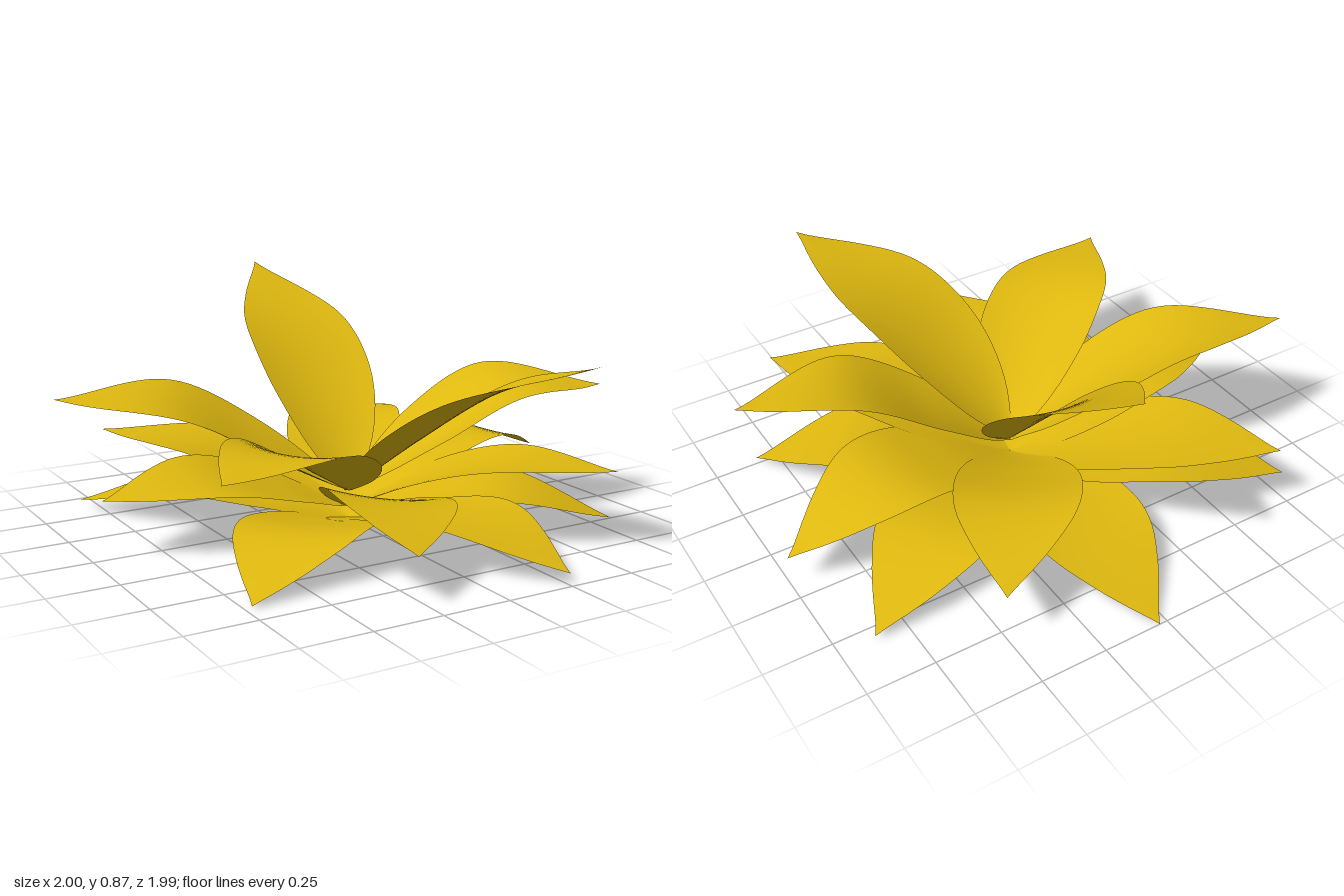
import * as THREE from 'three';

const material = new THREE.MeshStandardMaterial({ color: 0xdeb80f, side: THREE.DoubleSide });

// Smooth curve through values given at increasing stations
const curve = (stations, values) => {
  const spline = new THREE.CubicInterpolant(stations, values, 1);
  return (t) => spline.evaluate(t)[0];
};

// Half width of a petal from base to drawn-out tip
const halfWidth = curve(
  [0, 0.12, 0.3, 0.5, 0.65, 0.8, 0.9, 0.96, 1],
  [0.015, 0.125, 0.205, 0.225, 0.202, 0.13, 0.066, 0.024, 0]);

// Each petal: tip x, tip z, height at 30%, 60% and 100% of its length, sideways bow, roll
const layers = [
  { name: 'lowerPetal', base: 0.005, cup: 0.025, petals: [
    [0.03, -1.0, 0.075, 0.1, 0.0, 0, 0],
    [0.87, -0.56, 0.1, 0.14, 0.02, 0, 0],
    [0.83, 0.52, 0.09, 0.13, 0.01, 0, -0.01],
    [0.25, 0.99, 0.09, 0.14, 0.04, 0, 0],
    [-0.73, 0.66, 0.08, 0.12, 0.01, 0, 0],
    [-0.82, -0.64, 0.08, 0.12, 0.03, 0, 0],
  ] },
  { name: 'middlePetal', base: 0.05, cup: 0.035, petals: [
    [0.52, -0.82, 0.19, 0.28, 0.23, -0.035, 0],
    [1.0, -0.17, 0.19, 0.255, 0.12, 0, 0],
    [0.64, 0.76, 0.19, 0.275, 0.27, 0, 0],
    [-0.29, 0.92, 0.16, 0.23, 0.17, -0.035, 0.035],
    [-0.96, 0.0, 0.16, 0.235, 0.21, 0, 0.025],
    [-0.68, -0.75, 0.17, 0.26, 0.27, 0, 0],
  ] },
  { name: 'upperPetal', base: 0.11, cup: 0.07, petals: [
    [0.07, -0.89, 0.4, 0.645, 0.87, 0.04, 0],
    [0.97, 0.27, 0.31, 0.48, 0.46, 0, -0.03],
    [0.41, 0.92, 0.35, 0.55, 0.69, 0.045, 0],
    [-0.83, 0.67, 0.28, 0.41, 0.41, -0.04, 0.01],
    [-1.0, -0.34, 0.3, 0.47, 0.5, -0.03, 0.03],
  ] },
];

// Thin leaf: a grid bent along the height curve, cupped near the base and flatter at the tip
function petalGeometry(base, cup, [tipX, tipZ, y1, y2, y3, bow, roll]) {
  const geometry = new THREE.PlaneGeometry(1, 1, 12, 30);
  const { position, uv } = geometry.attributes;
  const height = curve([0, 0.3, 0.6, 1], [base, y1, y2, y3]);
  const length = Math.hypot(tipX, tipZ);
  const sideX = -tipZ / length;
  const sideZ = tipX / length;
  for (let i = 0; i < position.count; i++) {
    const u = uv.getX(i) * 2 - 1;
    const t = uv.getY(i);
    const arch = Math.sin(Math.PI * t);
    const across = u * Math.max(0, halfWidth(t)) + bow * Math.sin(Math.PI * t ** 0.7);
    const curl = cup * (1.3 - 1.5 * t) * (u * u - 0.3);
    const y = height(t) + arch * (curl + roll * u);
    position.setXYZ(i, tipX * t + sideX * across, Math.max(0, y), tipZ * t + sideZ * across);
  }
  geometry.computeVertexNormals();
  return geometry;
}

export function createModel() {
  const flower = new THREE.Group();
  flower.name = 'flower';
  for (const { name, base, cup, petals } of layers) {
    const layer = new THREE.Group();
    layer.name = name + 'Layer';
    petals.forEach((petal, i) => {
      const mesh = new THREE.Mesh(petalGeometry(base, cup, petal), material);
      mesh.name = name + (i + 1);
      layer.add(mesh);
    });
    flower.add(layer);
  }
  return flower;
}
